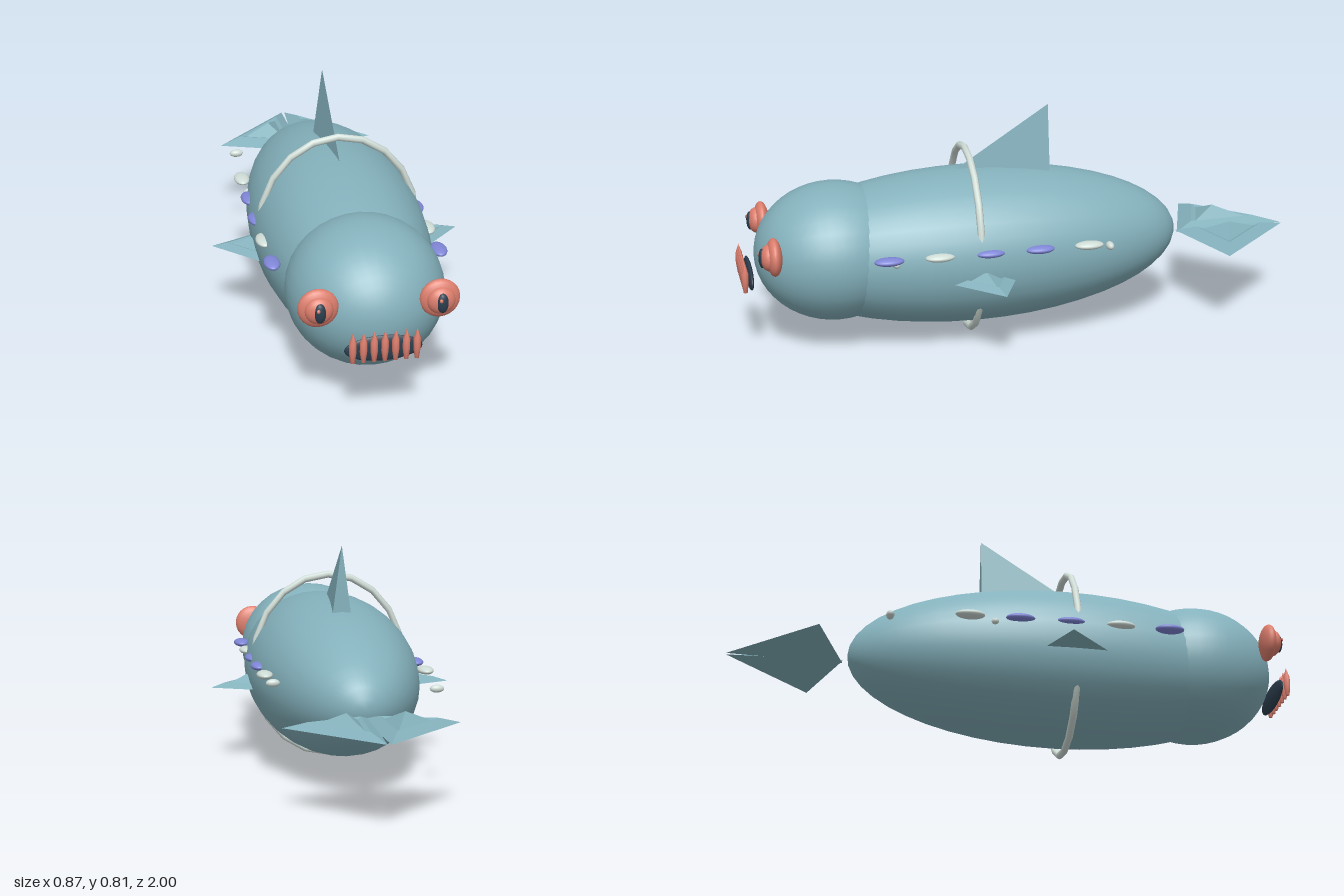
import * as THREE from 'three';
import { ConvexGeometry } from 'three/addons/geometries/ConvexGeometry.js';

const mat = (name, color, extra = {}) => {
  const m = new THREE.MeshStandardMaterial({ color, ...extra });
  m.name = name;
  return m;
};

export function createModel() {
  const model = new THREE.Group();
  model.name = 'deepSeaFish';
  const skin = mat('teal skin', 0x84b1bc);
  const finSkin = mat('teal fin', 0x84b1bc, { flatShading: true });
  const coral = mat('coral', 0xde7f6e);
  const dark = mat('dark navy', 0x2c3e4e);
  const pale = mat('pale grey', 0xd0ddd7);
  const violet = mat('violet', 0x7f86d6);

  const add = (name, geo, material, parent = model) => {
    const mesh = new THREE.Mesh(geo, material);
    mesh.name = name;
    parent.add(mesh);
    return mesh;
  };
  // Ellipsoid with its poles along z
  const ellipsoid = (name, material, pos, radii, w = 20, h = 14, parent = model) => {
    const geo = new THREE.SphereGeometry(1, w, h).rotateX(Math.PI / 2);
    geo.scale(...radii).translate(...pos);
    return add(name, geo, material, parent);
  };

  // Body and head
  ellipsoid('body', skin, [0, 0.321, 0.17], [0.3, 0.276, 0.75], 32, 24);
  ellipsoid('head', skin, [0, 0.333, 0.66], [0.262, 0.243, 0.28], 32, 24);

  // Band around the body
  const band = new THREE.TorusGeometry(0.33, 0.013, 8, 20).rotateZ(Math.PI / 2);
  band.scale(0.845, 1, 1).translate(0, 0.343, 0.19);
  add('bodyBand', band, pale);

  // Back fin: a slim wedge with an upright rear edge
  const v = (x, y, z) => new THREE.Vector3(x, y, z);
  add('dorsalFin', new ConvexGeometry([
    v(0, 0.59, 0.23), v(0.034, 0.56, -0.11), v(-0.034, 0.56, -0.11), v(0, 0.81, -0.11),
  ]), finSkin);

  // Flat-bottomed triangular fin, a low pyramid with a shallow groove
  const finGeometry = (corners, y, h) => {
    const [a, b, c] = corners;
    const area = (b[0] - a[0]) * (c[1] - a[1]) - (b[1] - a[1]) * (c[0] - a[0]);
    const pts = area > 0 ? [a, c, b] : [a, b, c];
    const cx = (a[0] + b[0] + c[0]) / 3, cz = (a[1] + b[1] + c[1]) / 3;
    const rings = [[1, 0], [0.6, 0.4], [0.47, 0.3], [0, 1]];
    const pos = [], index = [2, 1, 0];
    for (const [s, t] of rings)
      for (const [x, z] of pts) pos.push(cx + (x - cx) * s, y + h * t, cz + (z - cz) * s);
    for (let r = 0; r < rings.length - 1; r++)
      for (let i = 0; i < 3; i++) {
        const p = r * 3 + i, q = r * 3 + (i + 1) % 3;
        index.push(p, q, p + 3);
        if (r < rings.length - 2) index.push(q, q + 3, p + 3);
      }
    const geo = new THREE.BufferGeometry();
    geo.setAttribute('position', new THREE.Float32BufferAttribute(pos, 3));
    geo.setIndex(index);
    geo.computeVertexNormals();
    return geo;
  };

  for (const s of [1, -1]) {
    const side = s > 0 ? 'left' : 'right';
    const fin = (name, corners, y, h) =>
      add(side + name, finGeometry(corners.map(([x, z]) => [x * s, z]), y, h), finSkin);
    fin('TailFin', [[0.006, -1], [0.293, -0.7], [-0.012, -0.595]], 0.295, 0.056);
    fin('PectoralFin', [[0.437, 0.14], [0.235, 0.05], [0.235, 0.345]], 0.275, 0.04);

    // Layered eye
    const eye = new THREE.Group();
    eye.name = side + 'Eye';
    eye.position.set(0.196 * s, 0.395, 0);
    model.add(eye);
    ellipsoid('eyeball', coral, [0, 0, 0.89], [0.066, 0.066, 0.027], 24, 14, eye);
    ellipsoid('iris', coral, [0, 0, 0.908], [0.046, 0.046, 0.029], 24, 14, eye);
    ellipsoid('pupil', dark, [0, 0, 0.93], [0.019, 0.034, 0.013], 18, 12, eye);
    ellipsoid('glint', coral, [-0.007, 0.013, 0.941], [0.006, 0.007, 0.005], 10, 8, eye);

    // Row of side spots
    [violet, pale, violet, violet, pale].forEach((m, i) =>
      ellipsoid(side + 'Spot' + (i + 1), m, [0.283 * s, 0.377, 0.512 - 0.175 * i], [0.028, 0.014, 0.051]));
  }

  // Small stray spots
  [[0.265, 0.36, 0.485], [0.265, 0.362, -0.268], [-0.265, 0.362, -0.1], [-0.265, 0.362, -0.46]]
    .forEach((p, i) => ellipsoid('smallSpot' + (i + 1), pale, p, [0.025, 0.014, 0.014], 12, 10));

  // Mouth and teeth
  ellipsoid('mouth', dark, [0, 0.272, 0.96], [0.126, 0.045, 0.012], 28, 12);
  const profile = [[0, 0.24], [0.007, 0.24], [0.012, 0.275], [0.012, 0.31], [0, 0.345]]
    .map(([r, y]) => new THREE.Vector2(r, y));
  const toothGeo = new THREE.LatheGeometry(profile, 8);
  for (let i = -3; i <= 3; i++)
    add('tooth' + (i + 4), toothGeo, coral).position.set(i * 0.0343, 0, 0.983);

  return model;
}
